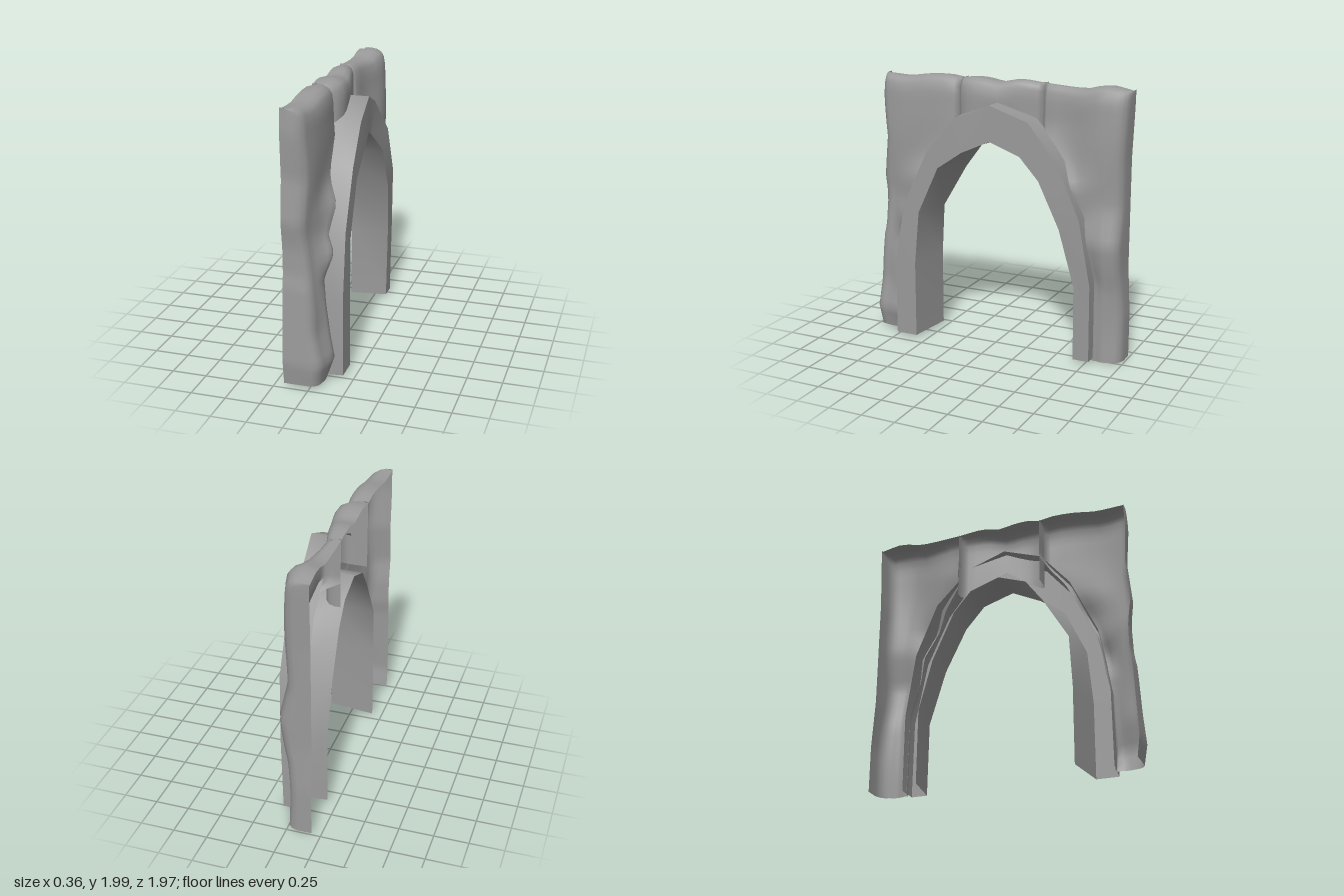
import * as THREE from 'three';

const BACK = -0.18;

// Piecewise linear curve through [t, value] pairs
function curve(pts) {
  return (t) => {
    if (t <= pts[0][0]) return pts[0][1];
    for (let i = 1; i < pts.length; i++) {
      const [a, va] = pts[i - 1], [b, vb] = pts[i];
      if (t <= b) return va + (vb - va) * (t - a) / (b - a);
    }
    return pts[pts.length - 1][1];
  };
}

// Smooth surface through rows of [x, y, z] points
function sheet(name, rows, flip) {
  const n = rows[0].length, index = [];
  for (let i = 0; i < rows.length - 1; i++) {
    for (let j = 0; j < n - 1; j++) {
      const a = i * n + j, b = a + 1, c = a + n, d = c + 1;
      if (flip) index.push(a, c, b, b, c, d);
      else index.push(a, b, c, b, d, c);
    }
  }
  const geo = new THREE.BufferGeometry();
  geo.setAttribute('position', new THREE.Float32BufferAttribute(rows.flat(2), 3));
  geo.setIndex(index);
  geo.computeVertexNormals();
  const mesh = new THREE.Mesh(geo,
    new THREE.MeshStandardMaterial({ color: 0x9a9a9a, side: THREE.DoubleSide }));
  mesh.name = name;
  return mesh;
}

// Wall shape: top edge, face depth, outer ends and ragged edges beside the arch
const topEdge = curve([[-0.98, 1.97], [-0.85, 2], [-0.78, 2], [-0.65, 1.965], [-0.5, 1.97],
  [-0.33, 1.98], [-0.15, 2], [0, 1.97], [0.1, 1.99], [0.2, 2], [0.31, 1.98], [0.45, 2],
  [0.6, 1.99], [0.75, 1.965], [0.95, 1.975]]);
const face = curve([[-0.98, -0.03], [-0.85, 0.03], [-0.7, 0.03], [-0.6, 0], [-0.45, -0.03],
  [-0.34, -0.07], [-0.2, -0.04], [0, 0], [0.2, 0.02], [0.31, -0.02], [0.4, 0.02], [0.6, 0.01],
  [0.8, 0], [0.97, -0.03]]);
const frontBulge = curve([[0.03, 0.09], [0.18, 0.12], [0.4, 0.06], [0.75, 0.03], [1.1, 0]]);
const rearBulge = curve([[0.55, 0], [0.88, 0.05], [1.15, 0]]);
const depth = (z, y) => face(z) + 0.008 * Math.sin(y * 7 + z * 4)
  + (z > 0.4 ? frontBulge(y) : 0) + (z < -0.6 ? rearBulge(y) : 0);

const sides = [
  { name: 'frontWallBlock', s: 1, groove: 0.31, bottom: 0.03,
    end: curve([[0.03, 0.97], [0.18, 0.99], [0.75, 0.965], [0.82, 0.95], [1.02, 0.95],
      [1.2, 0.975], [1.5, 0.95], [1.8, 0.965], [1.95, 0.955]]),
    corner: curve([[0.9, 0.06], [1.2, 0.08], [1.5, 0.12], [1.75, 0.08], [1.95, 0.06]]),
    inner: curve([[0.6, 0.76], [1.05, 0.67], [1.46, 0.46], [1.66, 0.31]]),
    ragged: curve([[0.03, 0.07], [0.18, 0.12], [0.35, 0.09], [0.75, 0.04], [0.92, 0.1],
      [1.05, 0.055], [1.23, 0.085], [1.38, 0.02], [1.7, -0.01], [2, -0.02]]) },
  { name: 'rearWallBlock', s: -1, groove: 0.33, bottom: 0.01,
    end: curve([[0.03, 0.985], [0.35, 0.985], [0.7, 0.965], [1.5, 0.965], [1.9, 0.98]]),
    corner: curve([[0, 0.08], [2, 0.08]]),
    inner: curve([[0.6, 0.76], [1.08, 0.67], [1.45, 0.5], [1.66, 0.33]]),
    ragged: curve([[0.03, 0.01], [0.6, 0.015], [0.9, 0.07], [1.1, 0.04],
      [1.3, 0.08], [1.45, 0.03], [1.7, -0.05], [2, -0.07]]) },
];

// Rounded cap: [distance below the top, share of full depth]
const cap = [[0.12, 1], [0.06, 0.96], [0.025, 0.85], [0.006, 0.65], [0, 0.45], [0.012, 0]];

// Rows of a block: section(y) gives [x, z] pairs, closed by the rounded top
function blockRows(bottom, section, count) {
  const rows = [];
  for (let i = 0; i < count; i++) {
    const t = i / count;
    rows.push(section(bottom(0) + (1.86 - bottom(0)) * t).map(([x, z]) =>
      [x, bottom(z) + (topEdge(z) - 0.12 - bottom(z)) * t, z]));
  }
  for (const [drop, share] of cap) {
    rows.push(section(1.97 - drop).map(([x, z]) =>
      [BACK + (x - BACK) * share, topEdge(z) - drop, z]));
  }
  return rows;
}

function sideBlock({ name, s, groove, bottom, end, corner, inner, ragged }) {
  const section = (y) => {
    const outer = end(y), edge = Math.max(groove, inner(y)), r = corner(y);
    const front = depth(s * (outer - 0.08), y), lip = ragged(y);
    // outer end, rounded into the face
    const pts = [[BACK, outer], [front - r, outer], [front - 0.5 * r, outer - 0.014],
      [front - 0.15 * r, outer - 0.04]];
    for (let i = 0; i <= 7; i++) {
      const z = outer - 0.07 + (edge + 0.035 - outer + 0.07) * i / 7;
      const blend = (i / 7) ** 2;
      pts.push([depth(s * z, y) * (1 - blend) + lip * blend, z]);
    }
    // lip beside the arch, or the return wall in the joint above it
    const joint = edge <= groove + 0.02;
    pts.push([joint ? lip - 0.02 : lip, edge + 0.008], [joint ? lip - 0.06 : lip - 0.02, edge],
      [joint ? BACK : lip - 0.04, edge]);
    return pts.map(([x, z]) => [x, s * z]);
  };
  return sheet(name, blockRows(() => bottom, section, 36), s < 0);
}

function middleBlock() {
  const a = 0.31, b = -0.33;
  // lower edge hidden inside the arch, its end walls hanging lowest
  const bottom = curve([[b, 1.47], [-0.01, 1.68], [a, 1.47]]);
  const section = (y) => {
    const fa = depth(a, y), fb = depth(b, y);
    const pts = [[BACK, a], [fa - 0.06, a], [fa - 0.02, a - 0.01]];
    for (let i = 0; i <= 10; i++) {
      const z = a - 0.035 + (b - a + 0.07) * i / 10;
      pts.push([depth(z, y), z]);
    }
    pts.push([fb - 0.02, b + 0.01], [fb - 0.06, b], [BACK, b]);
    return pts;
  };
  return sheet('middleWallBlock', blockRows(bottom, section, 6), false);
}

// Arch of three sharp-edged strips between [z, y] outlines
function archRing() {
  const outerBack = [[0.78, 0.03], [0.775, 0.6], [0.7, 1.06], [0.5, 1.48], [0.28, 1.735],
    [-0.01, 1.835], [-0.29, 1.735], [-0.55, 1.47], [-0.71, 1.08], [-0.78, 0.6], [-0.78, 0.03]];
  const outerFront = [[0.75, 0.03], [0.75, 0.6], [0.67, 1.06], [0.48, 1.46], [0.26, 1.72],
    [-0.01, 1.835], [-0.29, 1.73], [-0.53, 1.46], [-0.7, 1.08], [-0.78, 0.6], [-0.78, 0.03]];
  const innerFront = [[0.585, 0.03], [0.585, 0.6], [0.55, 1], [0.39, 1.35], [0.2, 1.48],
    [-0.01, 1.575], [-0.23, 1.48], [-0.39, 1.33], [-0.55, 1], [-0.66, 0.58], [-0.66, 0.03]];
  const innerBack = [[0.54, 0.03], [0.54, 0.6], [0.52, 0.98], [0.33, 1.3], [0.2, 1.475],
    [-0.01, 1.55], [-0.23, 1.475], [-0.36, 1.32], [-0.52, 0.96], [-0.62, 0.58], [-0.62, 0.03]];
  const frontX = [0.175, 0.175, 0.17, 0.165, 0.155, 0.135, 0.1, 0.135, 0.135, 0.11, 0.1];
  const place = (outline, x) => outline.map(([z, y], i) => [x ?? frontX[i], y, z]);
  const ring = new THREE.Group();
  ring.name = 'archRing';
  ring.add(
    sheet('archOuterSide', [place(outerBack, -0.06), place(outerFront)], false),
    sheet('archFrontFace', [place(outerFront), place(innerFront)], false),
    sheet('archUnderside', [place(innerFront), place(innerBack, BACK)], false));
  return ring;
}

export function createModel() {
  const group = new THREE.Group();
  group.name = 'stoneArchway';
  group.add(...sides.map(sideBlock), middleBlock(), archRing());
  return group;
}
